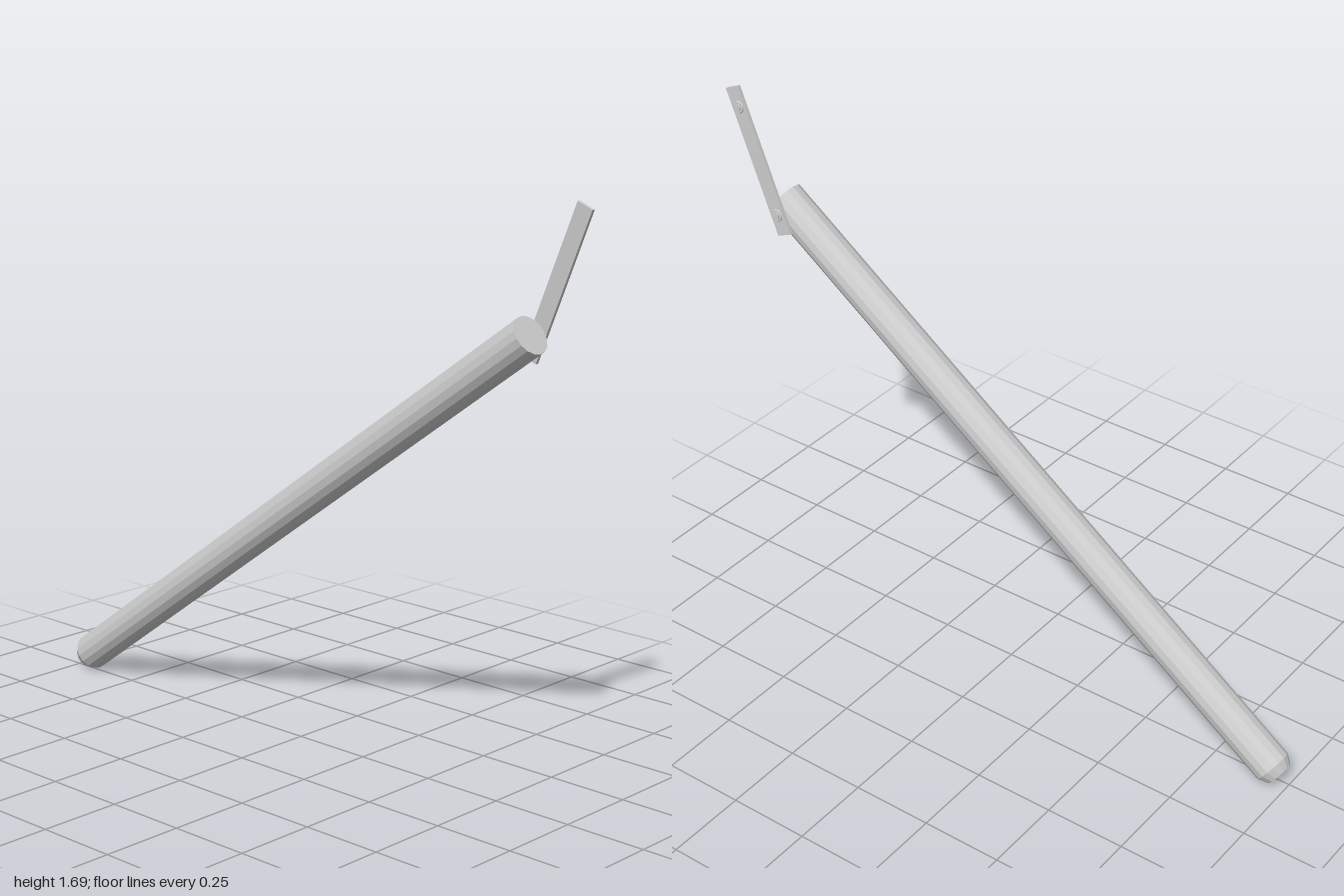
import * as THREE from 'three';

const material = new THREE.MeshStandardMaterial({ color: 0xcccccc, flatShading: true });

function add(parent, name, geometry, x = 0, y = 0, z = 0) {
  const mesh = new THREE.Mesh(geometry, material);
  mesh.name = name;
  mesh.position.set(x, y, z);
  parent.add(mesh);
  return mesh;
}

export function createModel() {
  const model = new THREE.Group();
  model.name = 'hingedPole';

  // Long leaning pole with a chamfered foot and a flat top
  const foot = new THREE.Vector3(0.01, 0.04, -0.971);
  const head = new THREE.Vector3(-0.014, 1.337, 0.845);
  const axis = head.clone().sub(foot);
  const length = axis.length();
  const profile = [[0, 0], [0.041, 0], [0.058, 0.03], [0.058, length], [0, length]]
    .map(([r, y]) => new THREE.Vector2(r, y));
  const pole = add(model, 'pole', new THREE.LatheGeometry(profile, 16), foot.x, foot.y, foot.z);
  pole.quaternion.setFromUnitVectors(new THREE.Vector3(0, 1, 0), axis.normalize());

  // Thin link plate on the left side of the pole's top
  const link = new THREE.Group();
  link.name = 'link';
  link.position.set(0.046, 1.471, 0.883);
  link.rotation.set(0.394, 0, 0.018);
  model.add(link);
  add(link, 'linkPlate', new THREE.BoxGeometry(0.01, 0.464, 0.052));

  // A bolt at each end of the plate: flat collar with a smaller pin through it
  for (const [name, y] of [['lowerBolt', -0.168], ['upperBolt', 0.171]]) {
    const bolt = new THREE.Group();
    bolt.name = name;
    bolt.position.y = y;
    bolt.rotation.z = -Math.PI / 2;
    link.add(bolt);
    add(bolt, 'collar', new THREE.CylinderGeometry(0.018, 0.02, 0.005, 12), 0, 0.0065, 0);
    add(bolt, 'pin', new THREE.CylinderGeometry(0.011, 0.011, 0.018, 12), 0, 0.004, 0);
  }
  return model;
}
